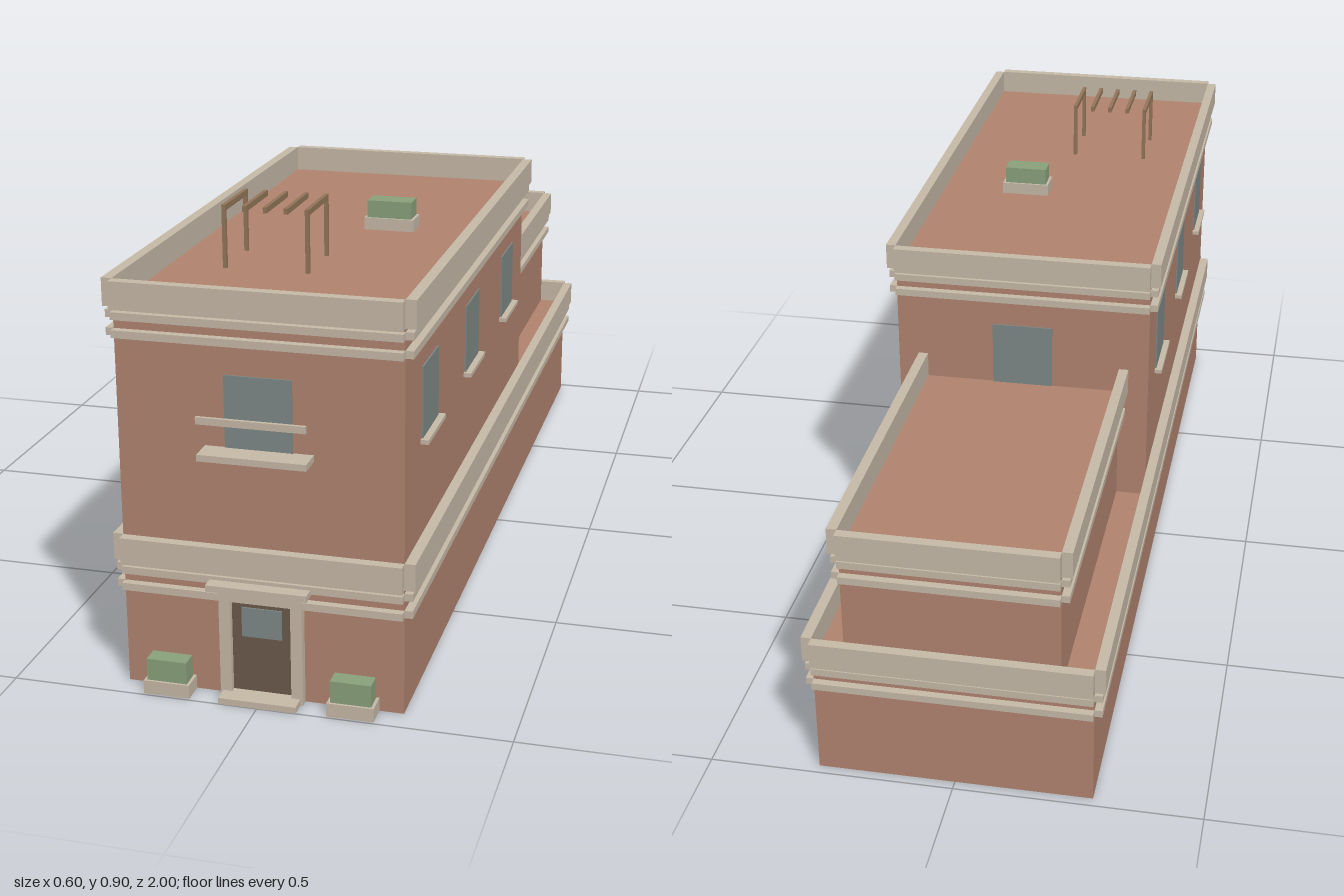
import * as THREE from 'three';

const mat = (color) => new THREE.MeshStandardMaterial({ color, flatShading: true });

export function createModel() {
  const model = new THREE.Group();
  model.name = 'building';

  const brick = mat(0xb38571);
  const trim = mat(0xc8bba9);
  const glass = mat(0x7f8a88);
  const timber = mat(0x6c5a4c);
  const beam = mat(0x94775a);
  const leaf = mat(0x8ca37d);

  // Box given by its lower and upper limits on each axis
  function box(name, material, [x0, x1], [y0, y1], [z0, z1], parent = model) {
    const mesh = new THREE.Mesh(new THREE.BoxGeometry(x1 - x0, y1 - y0, z1 - z0), material);
    mesh.position.set((x0 + x1) / 2, (y0 + y1) / 2, (z0 + z1) / 2);
    mesh.name = name;
    parent.add(mesh);
    return mesh;
  }

  function group(name) {
    const g = new THREE.Group();
    g.name = name;
    model.add(g);
    return g;
  }

  // Strips along the walls, with open notches at the corners
  function wallStrips(name, w, [y0, y1], [zb, zf], t, hasFront, parent) {
    for (const s of [-1, 1]) {
      const xs = s > 0 ? [w, w + t] : [-w - t, -w];
      box(name + 'Side', trim, xs, [y0, y1], [zb, zf], parent);
    }
    box(name + 'Back', trim, [-w, w], [y0, y1], [zb - t, zb], parent);
    if (hasFront) box(name + 'Front', trim, [-w, w], [y0, y1], [zf, zf + t], parent);
  }

  // One storey: brick block, two thin bands and a parapet standing above its roof
  function storey(name, w, base, top, z, hasFront) {
    const g = group(name);
    box(name + 'Walls', brick, [-w, w], [base, top - 0.055], z, g);
    wallStrips('parapet', w, [top - 0.055, top], z, 0.021, hasFront, g);
    wallStrips('upperBand', w, [top - 0.076, top - 0.061], z, 0.016, hasFront, g);
    wallStrips('lowerBand', w, [top - 0.111, top - 0.096], z, 0.016, hasFront, g);
  }

  const front = 0.949, back = -0.979, mid = -0.244, W = 0.279;
  storey('groundFloor', W, 0, 0.313, [back, front], true);
  storey('upperFloor', W, 0.258, 0.826, [mid, front], true);
  storey('rearExtension', 0.214, 0.258, 0.57, [back, mid], false);

  // Side windows with sills
  for (const s of [-1, 1]) {
    for (const z of [0.748, 0.35, -0.048]) {
      const g = group('sideWindow');
      const span = (d) => (s > 0 ? [W - 0.01, W + d] : [-W - d, -W + 0.01]);
      box('windowPane', glass, span(0.003), [0.513, 0.656], [z - 0.067, z + 0.067], g);
      box('windowSill', trim, span(0.016), [0.504, 0.513], [z - 0.076, z + 0.076], g);
    }
  }

  // Rear window and front window with its balcony ledge and rail
  box('rearWindow', glass, [-0.066, 0.066], [0.513, 0.656], [mid - 0.003, mid + 0.01]);
  const balcony = group('frontWindow');
  box('windowPane', glass, [-0.066, 0.066], [0.513, 0.656], [front - 0.01, front + 0.003], balcony);
  box('balconyLedge', trim, [-0.106, 0.106], [0.5, 0.513], [front, 1], balcony);
  box('balconyRail', trim, [-0.106, 0.106], [0.573, 0.587], [0.993, 1], balcony);

  // Entrance
  const entrance = group('entrance');
  box('door', timber, [-0.06, 0.06], [0.012, 0.206], [front - 0.01, front + 0.006], entrance);
  box('doorGlass', glass, [-0.04, 0.04], [0.129, 0.19], [front, front + 0.009], entrance);
  for (const xs of [[-0.083, -0.06], [0.06, 0.083]]) {
    box('doorJamb', trim, xs, [0, 0.206], [front - 0.01, front + 0.018], entrance);
  }
  box('doorHeader', trim, [-0.083, 0.083], [0.206, 0.232], [front - 0.01, front + 0.018], entrance);
  box('doorCanopy', trim, [-0.1, 0.1], [0.232, 0.245], [front - 0.01, 0.992], entrance);
  box('doorStep', trim, [-0.078, 0.078], [0, 0.013], [front, 1], entrance);

  // Planters by the door and on the roof
  function planter(x, y, z, w, d, hBase, hTop) {
    const g = group('planter');
    box('planterBox', trim, [x - w / 2, x + w / 2], [y, y + hBase], [z - d / 2, z + d / 2], g);
    box('planterHedge', leaf, [x - w / 2 + 0.006, x + w / 2 - 0.006], [y + hBase, y + hTop],
      [z - d / 2 + 0.005, z + d / 2 - 0.005], g);
  }
  planter(-0.185, 0, 0.972, 0.093, 0.046, 0.028, 0.073);
  planter(0.184, 0, 0.972, 0.093, 0.046, 0.028, 0.073);
  planter(0.082, 0.771, 0.254, 0.108, 0.058, 0.026, 0.063);

  // Roof pergola: four posts, two edge beams and three slats
  const pergola = group('pergola');
  for (let i = 0; i < 5; i++) {
    const x = -0.163 + i * 0.0428;
    box('pergolaBeam', beam, [x - 0.004, x + 0.004], [0.888, 0.9], [0.505, 0.648], pergola);
    if (i % 4 === 0) {
      for (const z of [0.505, 0.64]) {
        box('pergolaPost', beam, [x - 0.004, x + 0.004], [0.771, 0.888], [z, z + 0.008], pergola);
      }
    }
  }

  return model;
}
